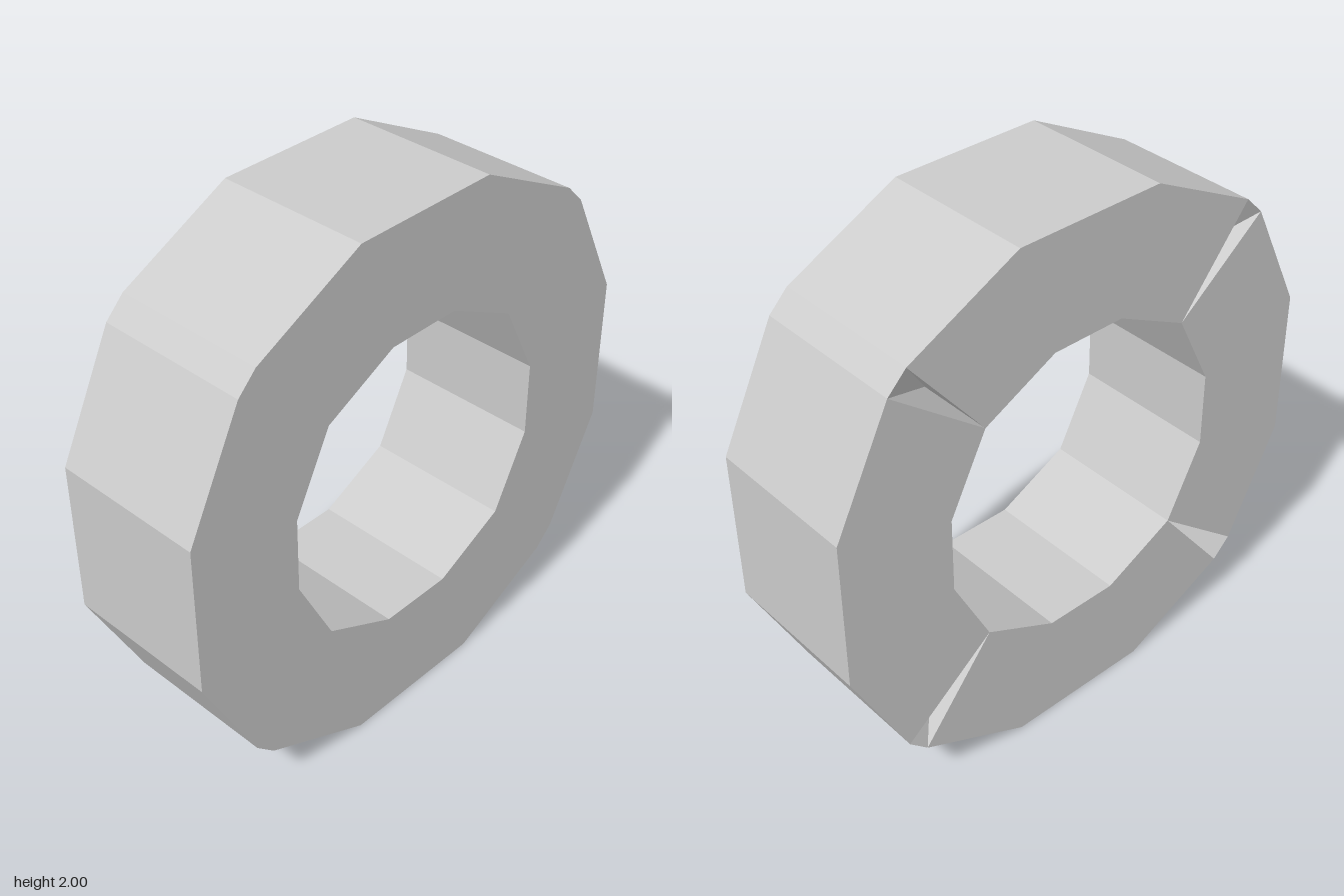
import * as THREE from 'three';

const HALF = 0.286; // half thickness of the ring
const NOTCH = 0.29; // depth of each rear notch at the inner corner

function extrude(points) {
  const shape = new THREE.Shape(points.map(([x, y]) => new THREE.Vector2(x, y)));
  const geometry = new THREE.ExtrudeGeometry(shape, { depth: 2 * HALF, bevelEnabled: false });
  return geometry.translate(0, 0, -HALF);
}

export function createModel() {
  const group = new THREE.Group();
  group.name = 'ring';
  const material = new THREE.MeshStandardMaterial({ color: 0xcccccc, flatShading: true });

  // One quarter of the ring, at the top
  const quarter = extrude([
    [-0.429, 0.429], [-0.714, 0.786], [-0.286, 1], [0.286, 1],
    [0.714, 0.786], [0.429, 0.429], [0.143, 0.573], [-0.143, 0.573],
  ]);

  // Diagonal wedge between quarters; its rear face slopes inward to the inner corner
  const wedge = extrude([[0.429, 0.429], [0.786, 0.714], [0.714, 0.786]]);
  const p = wedge.attributes.position;
  for (let i = 0; i < p.count; i++) {
    if (p.getX(i) < 0.5 && p.getZ(i) < 0) p.setZ(i, -HALF + NOTCH);
  }
  wedge.computeVertexNormals();

  for (let k = 0; k < 4; k++) {
    for (const [name, geometry] of [['ringQuarter', quarter], ['cornerWedge', wedge]]) {
      const mesh = new THREE.Mesh(geometry, material);
      mesh.name = name + (k + 1);
      mesh.position.y = 1;
      mesh.rotation.z = (k * Math.PI) / 2;
      group.add(mesh);
    }
  }
  return group;
}
